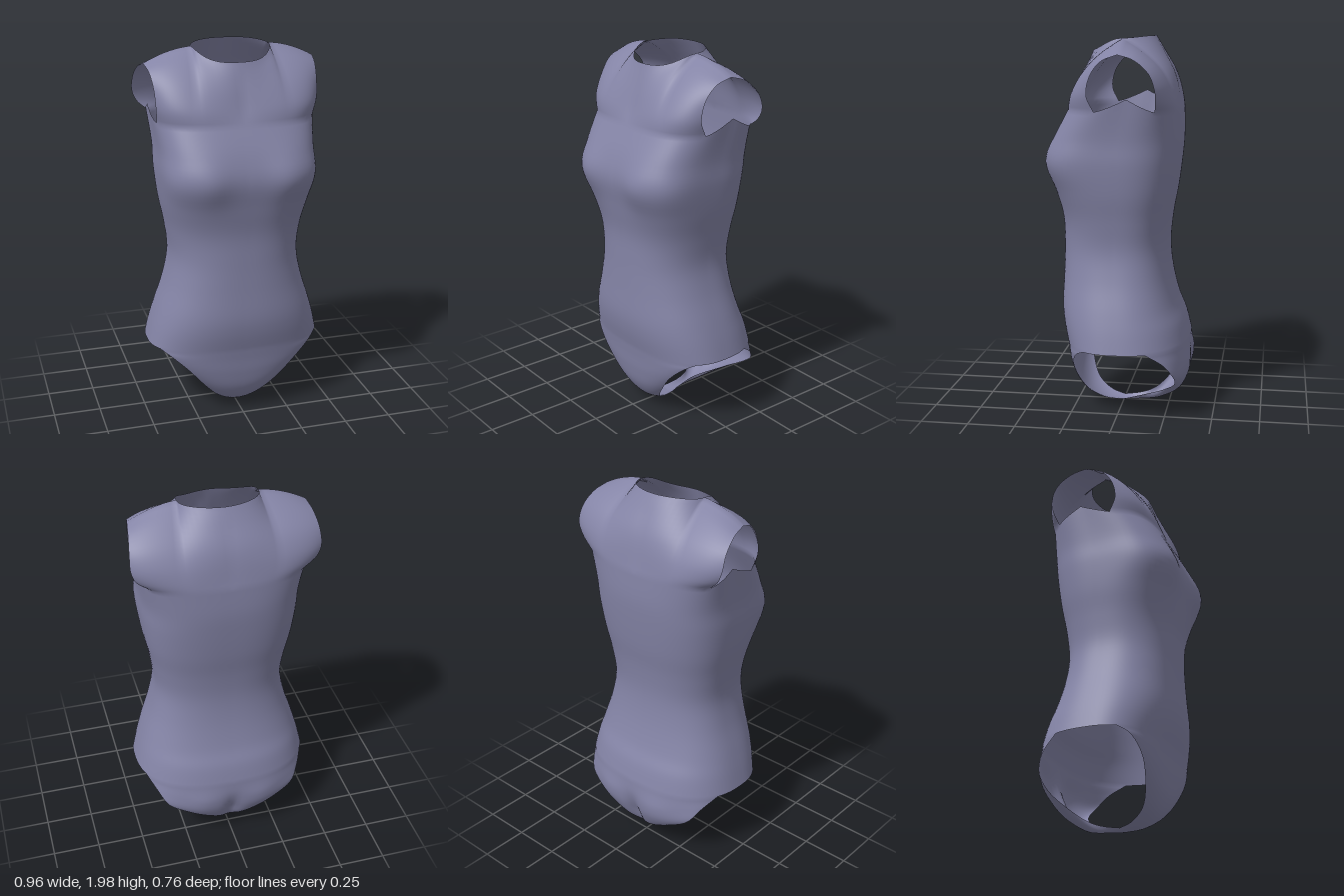
import * as THREE from 'three';
import { mergeVertices } from 'three/addons/utils/BufferGeometryUtils.js';

const COLS = 24;    // columns from centre line to side seam
const INNER = 18;   // columns that continue past the armhole and leg opening
const V = (x, y, z) => new THREE.Vector3(x, y, z);
const clamp01 = (v) => Math.min(1, Math.max(0, v));
const mix = THREE.MathUtils.lerp;

// Torso sections: centre y, side y, half width, side z, front z, front squareness, back z, back squareness
const TORSO = [
  [0.40, 0.40, 0.475, 0, 0.285, 2.5, -0.365, 2.5],
  [0.50, 0.50, 0.450, 0, 0.308, 2.5, -0.340, 2.5],
  [0.60, 0.60, 0.420, 0, 0.318, 2.5, -0.300, 2.5],
  [0.75, 0.75, 0.372, 0, 0.313, 2.5, -0.264, 2.5],
  [0.90, 0.90, 0.345, 0, 0.310, 2.5, -0.250, 2.5],
  [1.05, 1.05, 0.360, 0, 0.313, 2.6, -0.262, 2.6],
  [1.20, 1.20, 0.388, 0, 0.340, 3.1, -0.288, 2.7],
  [1.35, 1.35, 0.404, 0, 0.365, 4.2, -0.307, 2.8],
  [1.48, 1.48, 0.405, -0.03, 0.335, 3.8, -0.317, 2.8],
  [1.62, 1.685, 0.425, -0.07, 0.270, 3.3, -0.313, 2.9],
];

// Smooth interpolation through a table of rows, t in 0..1
function sampleRows(rows, t) {
  const last = rows.length - 1;
  const i = Math.min(Math.floor(t * last), last - 1), f = t * last - i;
  const [a, b, c, d] = [rows[Math.max(i - 1, 0)], rows[i], rows[i + 1], rows[Math.min(i + 2, last)]];
  return b.map((p, k) => {
    const m0 = (c[k] - a[k]) / 2, m1 = (d[k] - p) / 2, e = c[k] - p;
    return p + m0 * f + (3 * e - 2 * m0 - m1) * f * f + (m0 + m1 - 2 * e) * f * f * f;
  });
}

// One quarter section from the centre line to the side, evenly spaced, raised under the arm
function section([cy, ey, w, ez, zf, nf, zb, nb], back) {
  const cz = back ? zb : zf, n = back ? nb : nf;
  const pts = [];
  for (let i = 0; i <= 40; i++) {
    const a = (i / 40) * Math.PI / 2;
    const c = i === 40 ? 0 : Math.cos(a) ** (2 / n);
    pts.push(V(w * Math.sin(a) ** (2 / n), 0, ez + (cz - ez) * c));
  }
  const curve = new THREE.CatmullRomCurve3(pts);
  return Array.from({ length: COLS + 1 }, (_, j) => {
    const p = curve.getPointAt(j / COLS);
    p.y = cy + (ey - cy) * clamp01((j / COLS - 0.74) / 0.26) ** 1.3;
    // Bust fullness
    p.z += 0.022 * clamp01(p.z / 0.1) * Math.exp(-(((p.x - 0.2) / 0.1) ** 2) - ((p.y - 1.36) / 0.12) ** 2);
    return p;
  });
}

// Chest or upper back: patch from the torso row to the neckline and shoulder
function yoke(row, back) {
  const neckZ = back ? -0.17 : 0.16, neckY = back ? 1.99 : 1.917;
  const neckSide = V(0.205, 1.978, -0.02), shoulderTip = V(0.45, 1.9, -0.03);
  const end = (s) => {
    if (s < 0.5) {
      const a = s * Math.PI;
      return V(0.205 * Math.sin(a), mix(neckY, neckSide.y, Math.sin(a) ** 4), mix(neckSide.z, neckZ, Math.cos(a)));
    }
    const k = 2 * s - 1, p = neckSide.clone().lerp(shoulderTip, k);
    p.y += 0.06 * k * (1 - k);
    return p;
  };
  const start = row.slice(0, INNER + 1);
  const centre = new THREE.CatmullRomCurve3([start[0],
    ...(back ? [V(0, 1.8, -0.27), V(0, 1.92, -0.208)] : [V(0, 1.7, 0.235), V(0, 1.8, 0.2)]), end(0)]);
  const armhole = new THREE.CatmullRomCurve3([start[INNER],
    ...(back ? [V(0.452, 1.67, -0.216), V(0.477, 1.73, -0.215), V(0.475, 1.81, -0.185), V(0.462, 1.875, -0.11)]
      : [V(0.422, 1.7, 0.128), V(0.428, 1.8, 0.108), V(0.438, 1.87, 0.05)]), shoulderTip]);
  return Array.from({ length: 19 }, (_, i) => {
    const t = i / 18, f = t ** 1.5;
    const dL = centre.getPointAt(t).sub(start[0].clone().lerp(end(0), f));
    const dR = armhole.getPointAt(t).sub(start[INNER].clone().lerp(shoulderTip, f));
    return start.map((p, j) => p.clone().lerp(end(j / INNER), f).add(dL.clone().lerp(dR, j / INNER)));
  });
}

// Brief: the hip row narrows between the centre line and the leg edge down to the crotch seam
function brief(row, back) {
  const start = row.slice(0, INNER + 1), hip = start[0], corner = start[INNER];
  const centre = new THREE.CatmullRomCurve3([hip,
    ...(back ? [V(0, 0.3, -0.368), V(0, 0.2, -0.355), V(0, 0.1, -0.308), V(0, 0.03, -0.2), V(0, 0.01, -0.08)]
      : [V(0, 0.34, 0.276), V(0, 0.25, 0.264), V(0, 0.15, 0.238), V(0, 0.07, 0.185), V(0, 0.02, 0.1)]),
    V(0, 0.006, 0)]);
  const leg = new THREE.CatmullRomCurve3([corner,
    ...(back ? [V(0.40, 0.335, -0.255), V(0.355, 0.265, -0.3), V(0.27, 0.2, -0.302), V(0.13, 0.118, -0.24),
      V(0.04, 0.062, -0.165), V(0.028, 0.04, -0.1)]
      : [V(0.39, 0.372, 0.195), V(0.3, 0.29, 0.222), V(0.2, 0.17, 0.2), V(0.125, 0.085, 0.155), V(0.075, 0.035, 0.08)]),
    V(0.042, 0.018, 0)]);
  const grid = Array.from({ length: 37 }, (_, i) => {
    const t = i / 36, L = centre.getPointAt(t), R = leg.getPointAt(t);
    return start.map((p) => {
      const u = p.x / corner.x;
      const depth = mix((hip.z - p.z) / (hip.z - corner.z), u ** 2.5, clamp01(2.5 * t));
      return V(R.x * u, mix(L.y, R.y, u * u), mix(L.z, R.z, depth));
    });
  });
  if (back) {
    // Centre cleft between two fuller sides
    for (const p of grid.flat()) {
      const fade = clamp01((0.4 - p.y) / 0.1) * clamp01(-p.z / 0.2);
      p.z += 0.03 * fade * Math.exp(-((p.x / 0.04) ** 2) - ((p.y - 0.17) / 0.1) ** 2);
      p.z -= 0.014 * fade * Math.exp(-(((p.x - 0.16) / 0.1) ** 2) - ((p.y - 0.27) / 0.12) ** 2);
    }
  }
  return grid.reverse();
}

// Adds a grid and its mirror image to the triangle list, facing outward
function addGrid(out, grid, back) {
  for (const side of [1, -1]) {
    const flip = back !== (side < 0);
    const put = (...ps) => (flip ? ps.reverse() : ps).forEach((p) => out.push(side * p.x, p.y, p.z));
    for (let i = 0; i < grid.length - 1; i++) {
      for (let j = 0; j < grid[i].length - 1; j++) {
        const a = grid[i][j], b = grid[i][j + 1], c = grid[i + 1][j + 1], d = grid[i + 1][j];
        put(a, b, c);
        put(a, c, d);
      }
    }
  }
}

export function createModel() {
  const fabric = new THREE.MeshStandardMaterial({ color: 0x8484a6, side: THREE.DoubleSide });
  fabric.name = 'lavender grey fabric';

  const triangles = [];
  for (const back of [false, true]) {
    const torso = Array.from({ length: 46 }, (_, i) => section(sampleRows(TORSO, i / 45), back));
    addGrid(triangles, brief(torso[0], back), back);
    addGrid(triangles, torso, back);
    addGrid(triangles, yoke(torso[45], back), back);
  }

  // Weld the panels so the fabric shades as one smooth surface
  let geometry = new THREE.BufferGeometry();
  geometry.setAttribute('position', new THREE.Float32BufferAttribute(triangles, 3));
  geometry = mergeVertices(geometry, 1e-4);
  geometry.computeVertexNormals();

  const bodysuit = new THREE.Mesh(geometry, fabric);
  bodysuit.name = 'bodysuit';
  const group = new THREE.Group();
  group.name = 'sleevelessBodysuit';
  group.add(bodysuit);
  return group;
}
